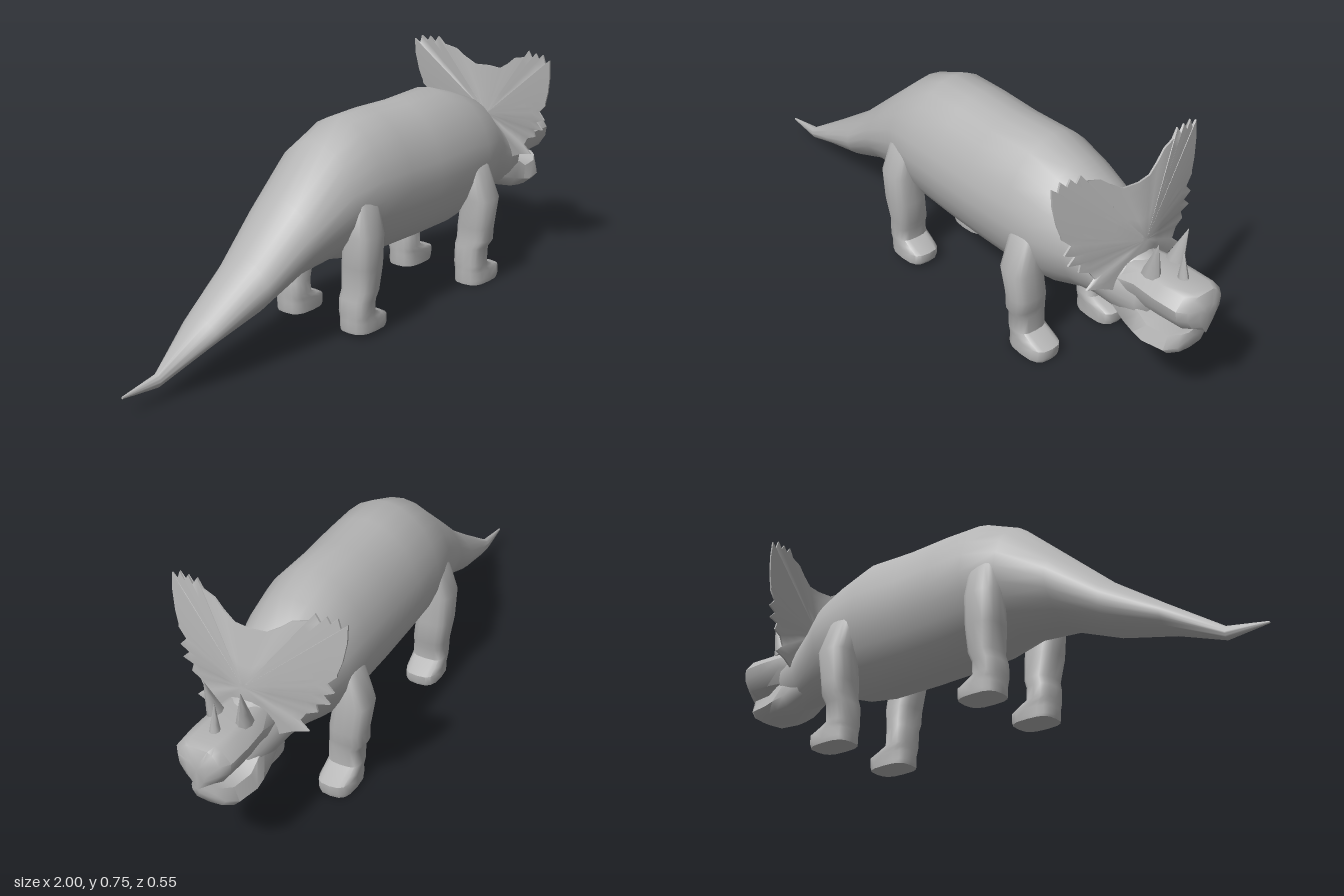
import * as THREE from 'three';
import { toCreasedNormals } from 'three/addons/utils/BufferGeometryUtils.js';

const skin = new THREE.MeshStandardMaterial({ color: 0xb4b4b4 });
skin.name = 'grey skin';

// Joins equal-length rings of [x, y, z] points into a closed, outward-facing skin
function loft(rings, crease = 0.8) {
  const n = rings[0].length, pos = rings.flat(2), idx = [];
  for (let r = 0; r < rings.length - 1; r++) {
    for (let i = 0; i < n; i++) {
      const a = r * n + i, b = r * n + (i + 1) % n;
      idx.push(a, b, b + n, a, b + n, a + n);
    }
  }
  [0, rings.length - 1].forEach((r, end) => {
    const c = pos.length / 3;
    for (let k = 0; k < 3; k++) pos.push(rings[r].reduce((s, p) => s + p[k], 0) / n);
    for (let i = 0; i < n; i++) {
      const a = r * n + i, b = r * n + (i + 1) % n;
      idx.push(...(end ? [c, a, b] : [c, b, a]));
    }
  });
  // Signed volume tells whether the winding has to be turned round
  let volume = 0;
  const p = i => new THREE.Vector3().fromArray(pos, i * 3);
  for (let i = 0; i < idx.length; i += 3) volume += p(idx[i]).dot(p(idx[i + 1]).cross(p(idx[i + 2])));
  if (volume < 0) idx.reverse();
  const g = new THREE.BufferGeometry();
  g.setAttribute('position', new THREE.Float32BufferAttribute(pos, 3));
  g.setIndex(idx);
  return toCreasedNormals(g, crease);
}

// Rounded outline around (u, v) with half sizes a, b; larger power is boxier
function oval(u, v, a, b, power, n) {
  return Array.from({ length: n }, (_, i) => {
    const t = i / n * Math.PI * 2, c = Math.cos(t), s = Math.sin(t);
    const f = x => Math.sign(x) * Math.abs(x) ** (2 / power);
    return [u + a * f(c), v + b * f(s)];
  });
}

function part(group, name, geometry) {
  const m = new THREE.Mesh(geometry, skin);
  m.name = name;
  group.add(m);
}

// Leg sections: y, back x, front x, inner z, outer z
function legGeometry(sections, side) {
  return loft(sections.map(([y, x0, x1, z0, z1]) =>
    oval((x0 + x1) / 2, (z0 + z1) / 2, (x1 - x0) / 2, (z1 - z0) / 2, 3, 16)
      .map(([x, z]) => [x, y, z * side])), 1);
}

export function createModel() {
  const model = new THREE.Group();
  model.name = 'hornedDinosaur';

  // Body, tail and neck: x, bottom, top, half width
  const body = [
    [-1, 0.053, 0.06, 0.003], [-0.87, 0.04, 0.082, 0.015], [-0.7, 0.105, 0.195, 0.07],
    [-0.52, 0.15, 0.32, 0.105], [-0.36, 0.215, 0.46, 0.138], [-0.2, 0.228, 0.6, 0.17],
    [-0.08, 0.2, 0.65, 0.188], [0.05, 0.19, 0.654, 0.188], [0.2, 0.187, 0.65, 0.188],
    [0.37, 0.188, 0.657, 0.188], [0.48, 0.205, 0.622, 0.176], [0.58, 0.242, 0.585, 0.15],
    [0.65, 0.25, 0.52, 0.122], [0.72, 0.24, 0.465, 0.1], [0.8, 0.235, 0.445, 0.078],
    [0.825, 0.26, 0.43, 0.055],
  ];
  part(model, 'body', loft(body.map(([x, lo, hi, w]) =>
    oval(0, 0, 1, 1, 2, 24).map(([z, y]) =>
      [x, (lo + hi) / 2 + y * (hi - lo) / 2, z * w * (1 + (y < 0 ? 0.1 : -0.05) * y)])), 1));

  // Legs with feet
  const fore = [
    [0.425, 0.388, 0.465, 0.13, 0.17], [0.405, 0.382, 0.475, 0.12, 0.185],
    [0.3, 0.38, 0.49, 0.112, 0.225], [0.2, 0.388, 0.487, 0.095, 0.21],
    [0.155, 0.392, 0.48, 0.092, 0.21], [0.13, 0.388, 0.474, 0.088, 0.195],
    [0.07, 0.388, 0.474, 0.086, 0.192], [0.055, 0.388, 0.51, 0.085, 0.192],
    [0.042, 0.388, 0.546, 0.085, 0.192], [0.015, 0.388, 0.546, 0.085, 0.194],
    [0, 0.39, 0.54, 0.086, 0.192],
  ];
  const hind = [
    [0.445, -0.185, -0.1, 0.13, 0.165], [0.42, -0.195, -0.098, 0.12, 0.18],
    [0.33, -0.21, -0.095, 0.1, 0.207], [0.23, -0.205, -0.095, 0.088, 0.203],
    [0.15, -0.192, -0.1, 0.08, 0.192], [0.12, -0.2, -0.112, 0.077, 0.187],
    [0.08, -0.2, -0.112, 0.075, 0.185], [0.065, -0.2, -0.08, 0.075, 0.185],
    [0.05, -0.2, -0.05, 0.075, 0.185], [0.025, -0.2, -0.05, 0.075, 0.185],
    [0.015, -0.198, -0.054, 0.076, 0.184],
  ];
  for (const side of [1, -1]) {
    const label = side > 0 ? 'Far' : 'Near';
    part(model, 'foreleg' + label, legGeometry(fore, side));
    part(model, 'hindLeg' + label, legGeometry(hind, side));
  }

  // Upper jaw with hooked beak: x, bottom edge, keel, widest y, top, half width
  const beak = [
    [0.72, 0.31, 0.3, 0.38, 0.44, 0.085], [0.8, 0.332, 0.326, 0.4, 0.452, 0.086],
    [0.88, 0.338, 0.334, 0.4, 0.452, 0.09], [0.96, 0.342, 0.33, 0.4, 0.456, 0.086],
    [0.985, 0.348, 0.324, 0.4, 0.45, 0.066], [1, 0.352, 0.322, 0.395, 0.42, 0.03],
  ];
  part(model, 'upperJaw', loft(beak.map(([x, lo, keel, mid, hi, w]) => [
    [x, keel, 0], [x, lo, w * 0.65], [x, mid - 0.02, w * 0.95], [x, mid + 0.012, w],
    [x, hi - 0.008, w * 0.66], [x, hi, w * 0.45], [x, hi, -w * 0.45],
    [x, hi - 0.008, -w * 0.66], [x, mid + 0.012, -w], [x, mid - 0.02, -w * 0.95], [x, lo, -w * 0.65],
  ])));

  // Lower jaw: x, bottom, top, half width
  const jaw = [
    [0.68, 0.27, 0.36, 0.07], [0.77, 0.228, 0.348, 0.086], [0.815, 0.223, 0.325, 0.091],
    [0.85, 0.222, 0.3, 0.091], [0.92, 0.224, 0.302, 0.078], [0.95, 0.24, 0.312, 0.054],
    [0.962, 0.27, 0.316, 0.03],
  ];
  part(model, 'lowerJaw', loft(jaw.map(([x, lo, hi, w]) => {
    const h = hi - lo;
    return [[x, lo, 0], [x, lo + h * 0.06, w * 0.75], [x, lo + h * 0.32, w], [x, lo + h * 0.9, w * 0.8],
      [x, hi, 0], [x, lo + h * 0.9, -w * 0.8], [x, lo + h * 0.32, -w], [x, lo + h * 0.06, -w * 0.75]];
  }), 1));

  // Horns: base centre, base half sizes, tip
  const horn = (name, [bx, by, bz], rx, rz, [tx, ty, tz]) =>
    part(model, name, loft([0, 0.35, 0.7, 0.98].map(t =>
      oval(bx + (tx - bx) * t, bz + (tz - bz) * t, rx * (1 - t), rz * (1 - t), 2, 8)
        .map(([x, z]) => [x, by + (ty - by) * t, z]))));
  horn('browHornFar', [0.825, 0.44, 0.045], 0.033, 0.023, [0.857, 0.567, 0.058]);
  horn('browHornNear', [0.825, 0.44, -0.045], 0.033, 0.023, [0.857, 0.567, -0.058]);
  horn('noseHorn', [0.903, 0.44, 0], 0.02, 0.017, [0.896, 0.543, 0]);

  // Neck frill: half of the spiked outline as z, y from top to bottom, then mirrored
  const half = [
    [0.05, 0.666], [0.09, 0.69], [0.12, 0.714], [0.165, 0.725], [0.184, 0.75], [0.2, 0.725],
    [0.216, 0.747], [0.231, 0.722], [0.247, 0.747], [0.256, 0.718], [0.275, 0.733], [0.275, 0.68],
    [0.265, 0.62], [0.252, 0.58], [0.252, 0.572], [0.224, 0.545], [0.246, 0.52], [0.212, 0.507],
    [0.236, 0.483], [0.196, 0.476], [0.203, 0.452], [0.17, 0.44], [0.152, 0.412], [0.18, 0.385],
    [0.135, 0.375], [0.08, 0.35],
  ];
  const outline = [[0, 0.667], ...half, [0, 0.345], ...half.slice().reverse().map(([z, y]) => [-z, y])];
  // The wings sweep back from the middle and thin out towards the rim
  const frillRing = (t, face) => outline.map(([z, y]) => {
    const zz = z * t, yy = 0.5 + (y - 0.5) * t;
    const middle = 0.732 - (yy - 0.5) * 0.11 - Math.abs(zz) * 0.17;
    return [middle + face * (0.003 + 0.024 * (1 - t)), yy, zz];
  });
  part(model, 'neckFrill', loft([
    ...[0.05, 0.35, 0.65, 0.85, 1].map(t => frillRing(t, -1)),
    ...[1, 0.85, 0.65, 0.35, 0.05].map(t => frillRing(t, 1)),
  ], 1.1));

  return model;
}
